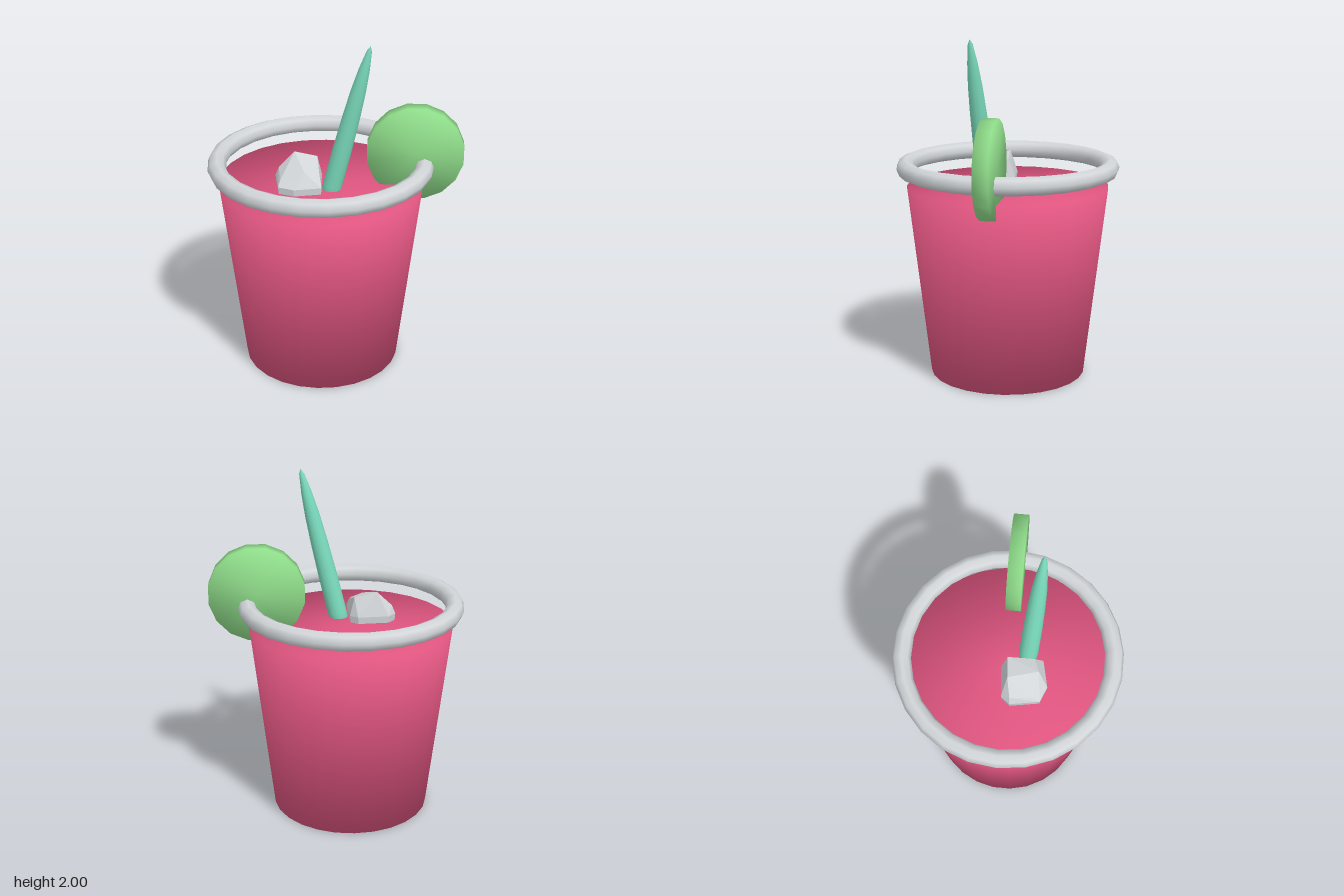
import * as THREE from 'three';
import { ConvexGeometry } from 'three/addons/geometries/ConvexGeometry.js';

const CUP_X = -0.08;

function material(name, color) {
  const m = new THREE.MeshStandardMaterial({ color });
  m.name = name;
  return m;
}

// Closed drum whose rim normals are shared softly between wall and caps
function softDrum(rTop, rBottom, height, sides, thetaStart = 0) {
  const g = new THREE.CylinderGeometry(rTop, rBottom, height, sides, 1, false, thetaStart);
  const p = g.attributes.position, n = g.attributes.normal, v = new THREE.Vector3();
  for (let i = 0; i < p.count; i++) {
    v.set(p.getX(i), 0, p.getZ(i));
    if (v.length() > 0.001) v.normalize();
    v.y = Math.sign(p.getY(i)) * 0.9;
    v.normalize();
    n.setXYZ(i, v.x, v.y, v.z);
  }
  return g;
}

export function createModel() {
  const pink = material('pink drink', 0xdf5580);
  const grey = material('pale grey', 0xd2d6d9);
  const lime = material('lime green', 0x8fdc8a);
  const mint = material('mint green', 0x7adbbc);

  const model = new THREE.Group();
  model.name = 'drink';
  const add = (name, geometry, mat, x, y, z) => {
    const mesh = new THREE.Mesh(geometry, mat);
    mesh.name = name;
    mesh.position.set(x, y, z);
    model.add(mesh);
    return mesh;
  };

  // Tapered body of the drink
  add('drinkBody', softDrum(0.59, 0.458, 1.13, 26), pink, CUP_X, 0.565, 0);

  // Rim floating above the drink
  const rim = new THREE.TorusGeometry(0.598, 0.053, 8, 26);
  rim.rotateX(Math.PI / 2);
  add('glassRim', rim, grey, CUP_X, 1.24, 0);

  // Citrus slice standing across the rim
  const slice = softDrum(0.279, 0.279, 0.085, 16, Math.PI / 16);
  slice.rotateX(Math.PI / 2);
  add('citrusSlice', slice, lime, 0.459, 1.32, 0.002);

  // Straw: tapered to a point and leaning along its axis
  const base = new THREE.Vector3(-0.035, 1.04, 0.105);
  const axis = new THREE.Vector3(0.2, 1.998, 0.163).sub(base);
  const length = axis.length();
  const profile = [[0, 0], [0.053, 0], [0.055, 0.12], [0.054, 0.35], [0.049, 0.56],
    [0.042, 0.72], [0.03, 0.86], [0.014, 0.97], [0, 1]]
    .map(([r, t]) => new THREE.Vector2(r, t * length));
  const straw = add('straw', new THREE.LatheGeometry(profile, 12), mint, base.x, base.y, base.z);
  straw.quaternion.setFromUnitVectors(new THREE.Vector3(0, 1, 0), axis.normalize());

  // Ice: a rough faceted lump, wide outline below and an uneven top
  const outline = [[-0.34, 0.03], [-0.3, -0.02], [-0.12, -0.035], [-0.075, 0],
    [-0.065, 0.2], [-0.22, 0.235], [-0.31, 0.2]];
  const points = [[-0.32, 1.22, 0.03], [-0.23, 1.31, 0.01], [-0.1, 1.28, 0],
    [-0.08, 1.23, 0.15], [-0.16, 1.25, 0.18], [-0.3, 1.2, 0.16]]
    .map((p) => new THREE.Vector3(...p));
  for (const [x, z] of outline) {
    points.push(new THREE.Vector3(x, 1.17, z));
    points.push(new THREE.Vector3(-0.2 + (x + 0.2) * 0.93, 1.06, 0.1 + (z - 0.1) * 0.93));
  }
  add('iceCube', new ConvexGeometry(points), grey, 0, 0, 0);

  return model;
}
